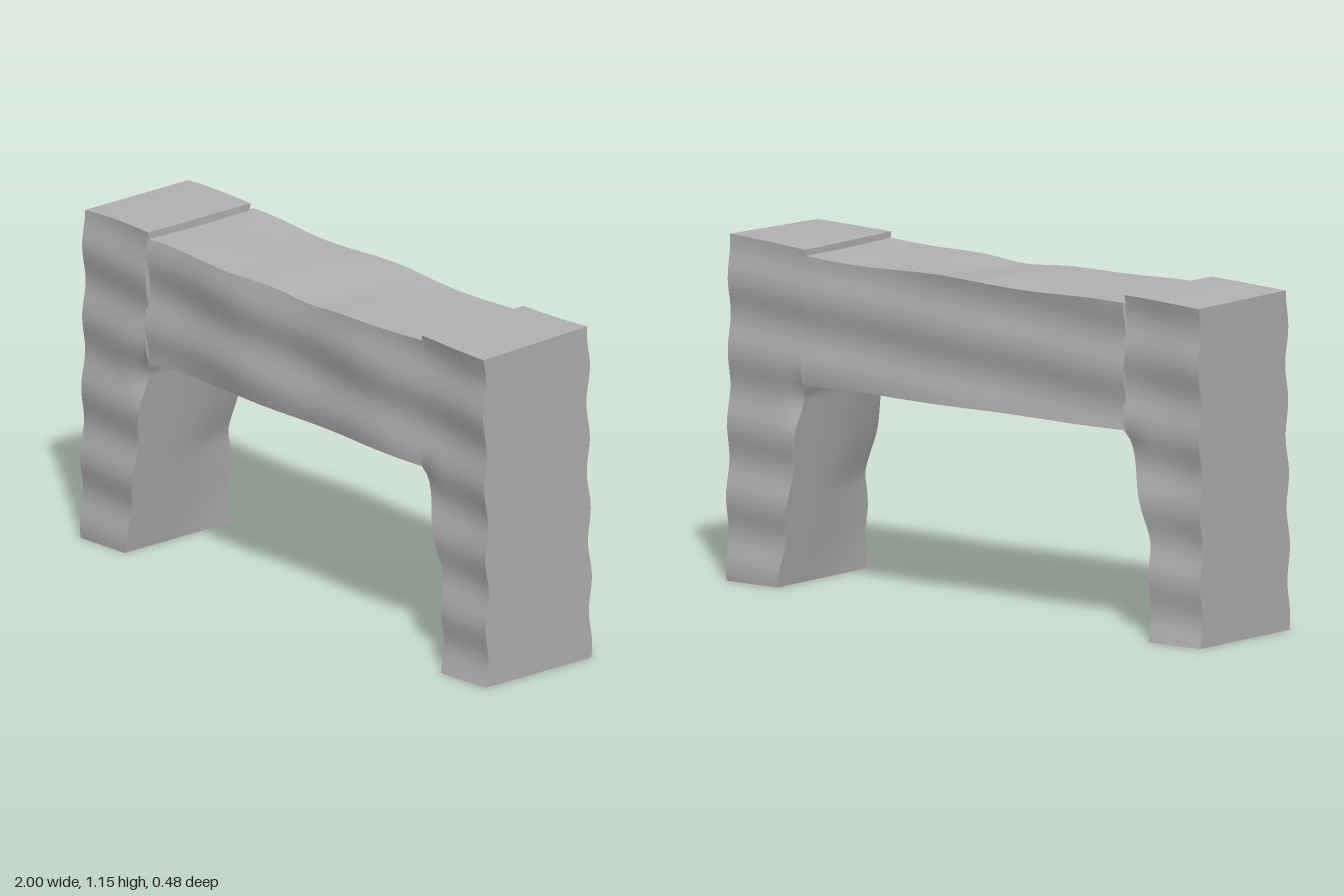
import * as THREE from 'three';

const { lerp, smoothstep } = THREE.MathUtils;

// Smooth surface patch from a point rule p(u, v) -> [x, y, z]
function patch(p, nu, nv) {
  const pos = [], idx = [];
  for (let j = 0; j <= nv; j++)
    for (let i = 0; i <= nu; i++) pos.push(...p(i / nu, j / nv));
  for (let j = 0; j < nv; j++)
    for (let i = 0; i < nu; i++) {
      const a = j * (nu + 1) + i, b = a + 1, c = a + nu + 1, d = c + 1;
      idx.push(a, b, d, a, d, c);
    }
  const g = new THREE.BufferGeometry();
  g.setAttribute('position', new THREE.Float32BufferAttribute(pos, 3));
  g.setIndex(idx);
  g.computeVertexNormals();
  return g;
}

// Worn stone: gentle hollows on the front and back faces
function faceZ(x, y, s) {
  const k = s > 0 ? 0 : 1.9;
  const wave = 0.7 * Math.sin(y * 26 + 0.6 + x * 2 * s + k) + 0.5 * Math.sin(x * 10 + y * 4 + k * 2);
  return s * (0.225 + 0.011 * wave);
}

// Six-sided block from p(u, v, s): u across, v up, s = -1 back to 1 front
function block(name, p, nu, nv, sides, material) {
  const rules = {
    Front: [(u, v) => p(u, v, 1), nu, nv],
    Back: [(u, v) => p(1 - u, v, -1), nu, nv],
    Outer: [(u, v) => p(1, v, 1 - 2 * u), 4, nv],
    Inner: [(u, v) => p(0, v, 2 * u - 1), 4, nv],
    Top: [(u, v) => p(u, 1, 1 - 2 * v), nu, 4],
    Underside: [(u, v) => p(u, 0, 2 * v - 1), nu, 4],
  };
  const group = new THREE.Group();
  group.name = name;
  for (const side of sides) {
    const mesh = new THREE.Mesh(patch(...rules[side]), material);
    mesh.name = name + side;
    group.add(mesh);
  }
  return group;
}

// Depth between the worn back and front faces
const depth = (x, y, s) => lerp(faceZ(x, y, -1), faceZ(x, y, 1), (s + 1) / 2);

// End pier: leg tapers in below the beam, one inner edge is chipped, base is open
function pier(name, topY, material) {
  return block(name, (u, v, s) => {
    const y0 = v * 1.14, front = (s + 1) / 2;
    let inner = y0 < 0.689 ? lerp(0.79, 0.685, y0 / 0.69) : 0.675;
    if (y0 < 0.689) {
      const chip = y0 < 0.32 ? y0 / 0.32 : (0.69 - y0) / 0.37;
      inner += 0.045 * chip * smoothstep(front, 0.5, 1);
    }
    const x = lerp(inner, 1, u);
    const y = v * topY(u, s);
    // small pinch where the leg meets the beam
    const pinch = 0.014 * Math.exp(-(((x - 0.69) / 0.05) ** 2) - ((y - 0.64) / 0.07) ** 2);
    return [x, y, depth(x, y, s) - s * pinch];
  }, 14, 38, ['Front', 'Back', 'Outer', 'Inner', 'Top'], material);
}

export function createModel() {
  const stone = new THREE.MeshStandardMaterial({ color: 0xb4b4b4, side: THREE.DoubleSide });
  stone.name = 'grey stone';
  const model = new THREE.Group();
  model.name = 'stoneArch';

  // Piers
  model.add(pier('leftPier', (u, s) => 1.135 + 0.009 * u - 0.007 * s * u, stone));
  const right = pier('rightPier', (u) => 1.139 - 0.008 * u * u, stone);
  right.rotation.y = Math.PI;
  model.add(right);

  // Beam with a slightly sagging, uneven top
  model.add(block('beam', (u, v, s) => {
    const x = lerp(-0.682, 0.682, u);
    const dip = 0.022 * Math.exp(-(((x - 0.1) / 0.15) ** 2)) * (s + 1) / 2;
    const top = 1.112 + 0.005 * Math.sin(x * 9 + 0.8) * Math.abs(s) - dip;
    const y = lerp(0.69 - 0.003 * u, top, v);
    return [x, y, depth(x, y, s)];
  }, 44, 14, ['Front', 'Back', 'Top', 'Underside'], stone));

  return model;
}
